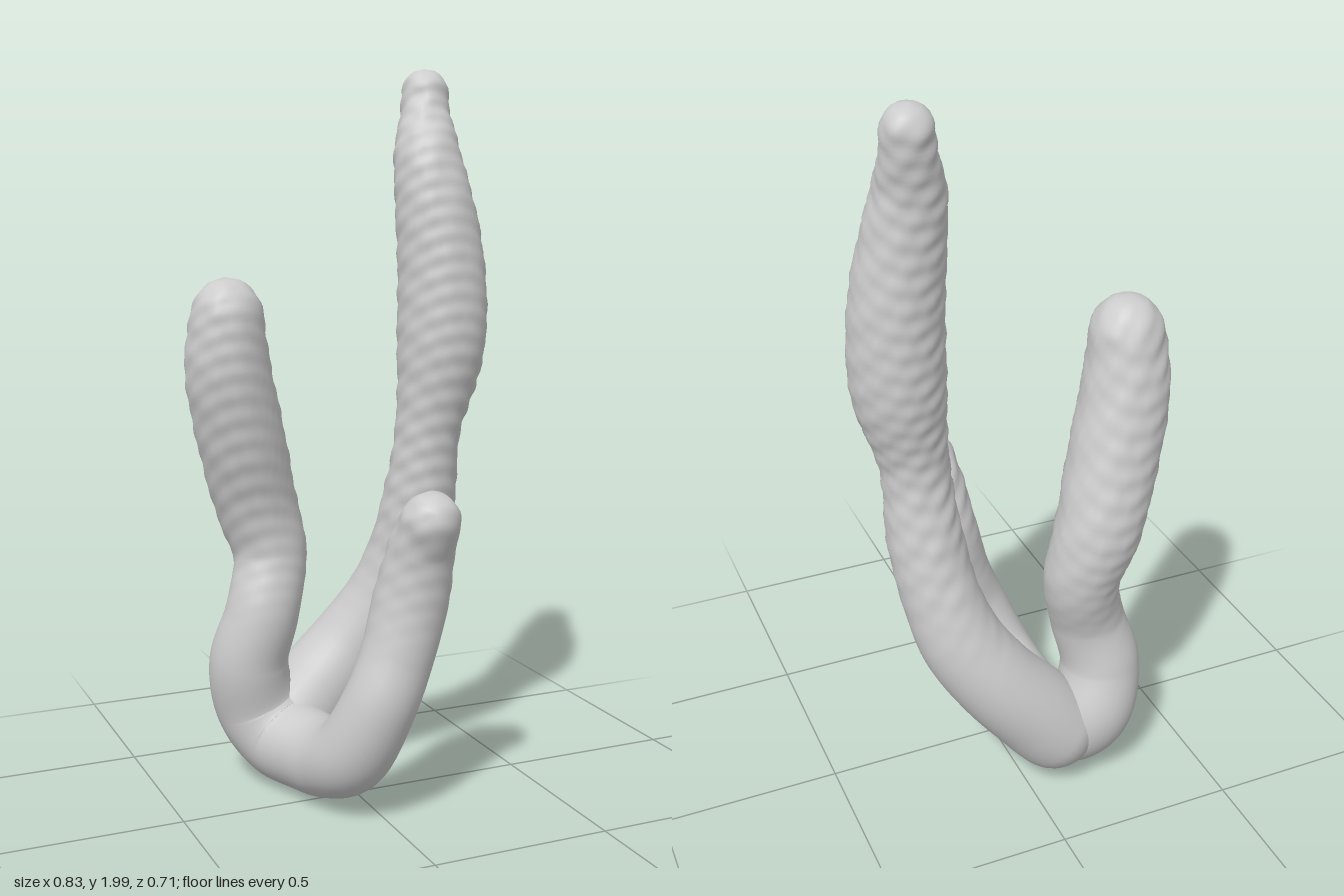
import * as THREE from 'three';
import { mergeVertices } from 'three/addons/utils/BufferGeometryUtils.js';

const material = new THREE.MeshStandardMaterial({ color: 0xcccccc });

// Gentle lumps that grow stronger toward the upper part of a branch
function lump(p) {
  const strength = THREE.MathUtils.smoothstep(p.y, 0.4, 0.9) * 0.0014;
  return strength * (Math.sin(p.x * 91 + p.y * 67) + Math.sin(p.y * 113 - p.z * 83) + Math.sin(p.z * 97 + p.x * 59));
}

// Tube of varying thickness with round ends; stations are [x, y, z, radius]
function branch(name, stations, segments) {
  const curve = new THREE.CatmullRomCurve3(stations.map(([x, y, z]) => new THREE.Vector3(x, y, z)));
  curve.arcLengthDivisions = 600;
  const thickness = new THREE.SplineCurve(stations.map((s, i) => new THREE.Vector2(i, s[3])));
  const length = curve.getLength();
  const sides = 32;
  let geometry = new THREE.TubeGeometry(curve, segments, 1, sides);
  const position = geometry.attributes.position;
  const v = new THREE.Vector3();
  for (let i = 0; i <= segments; i++) {
    const u = i / segments;
    const centre = curve.getPointAt(u);
    const r = thickness.getPoint(curve.getUtoTmapping(u)).y;
    const end = Math.min(1, Math.min(u, 1 - u) * length / r);
    const radius = r * Math.sqrt(1 - (1 - end) ** 2);
    for (let j = 0; j <= sides; j++) {
      const k = i * (sides + 1) + j;
      v.fromBufferAttribute(position, k).sub(centre).multiplyScalar(radius).add(centre);
      const swell = 1 + lump(v) / r;
      v.sub(centre).multiplyScalar(swell).add(centre);
      position.setXYZ(k, v.x, v.y, v.z);
    }
  }
  // Weld the seam so the shading is smooth all round
  geometry.deleteAttribute('normal');
  geometry.deleteAttribute('uv');
  geometry = mergeVertices(geometry, 1e-5);
  geometry.computeVertexNormals();
  const mesh = new THREE.Mesh(geometry, material);
  mesh.name = name;
  return mesh;
}

export function createModel() {
  const group = new THREE.Group();
  group.name = 'branchingStalks';

  // Right-hand stalk runs down through the base and up into the short front stalk
  group.add(branch('rightAndFrontStalk', [
    [-0.31, 1.44, -0.165, 0.085],
    [-0.305, 1.35, -0.16, 0.097],
    [-0.3, 1.2, -0.175, 0.116],
    [-0.255, 1.0, -0.205, 0.121],
    [-0.2, 0.8, -0.237, 0.115],
    [-0.165, 0.66, -0.225, 0.104],
    [-0.2, 0.5, -0.195, 0.104],
    [-0.235, 0.35, -0.215, 0.112],
    [-0.2, 0.21, -0.232, 0.122],
    [-0.15, 0.135, -0.18, 0.124],
    [-0.115, 0.12, -0.08, 0.115],
    [-0.095, 0.13, 0.03, 0.108],
    [-0.07, 0.18, 0.135, 0.108],
    [-0.02, 0.33, 0.205, 0.1],
    [0.03, 0.46, 0.208, 0.098],
    [0.07, 0.61, 0.207, 0.1],
    [0.087, 0.75, 0.235, 0.089],
    [0.09, 0.84, 0.283, 0.077],
    [0.09, 0.905, 0.308, 0.07],
  ], 240));

  // Tall stalk leaves the base diagonally and swells near the top
  group.add(branch('tallStalk', [
    [-0.19, 0.1, -0.22, 0.12],
    [-0.1, 0.165, -0.225, 0.13],
    [-0.015, 0.26, -0.222, 0.127],
    [0.08, 0.37, -0.208, 0.12],
    [0.165, 0.5, -0.17, 0.115],
    [0.21, 0.64, -0.132, 0.106],
    [0.235, 0.8, -0.092, 0.102],
    [0.25, 1.02, -0.062, 0.092],
    [0.282, 1.24, -0.053, 0.122],
    [0.283, 1.45, -0.055, 0.121],
    [0.262, 1.65, -0.069, 0.106],
    [0.252, 1.77, -0.09, 0.091],
    [0.266, 1.89, -0.13, 0.067],
    [0.27, 1.995, -0.148, 0.062],
  ], 220));

  return group;
}
